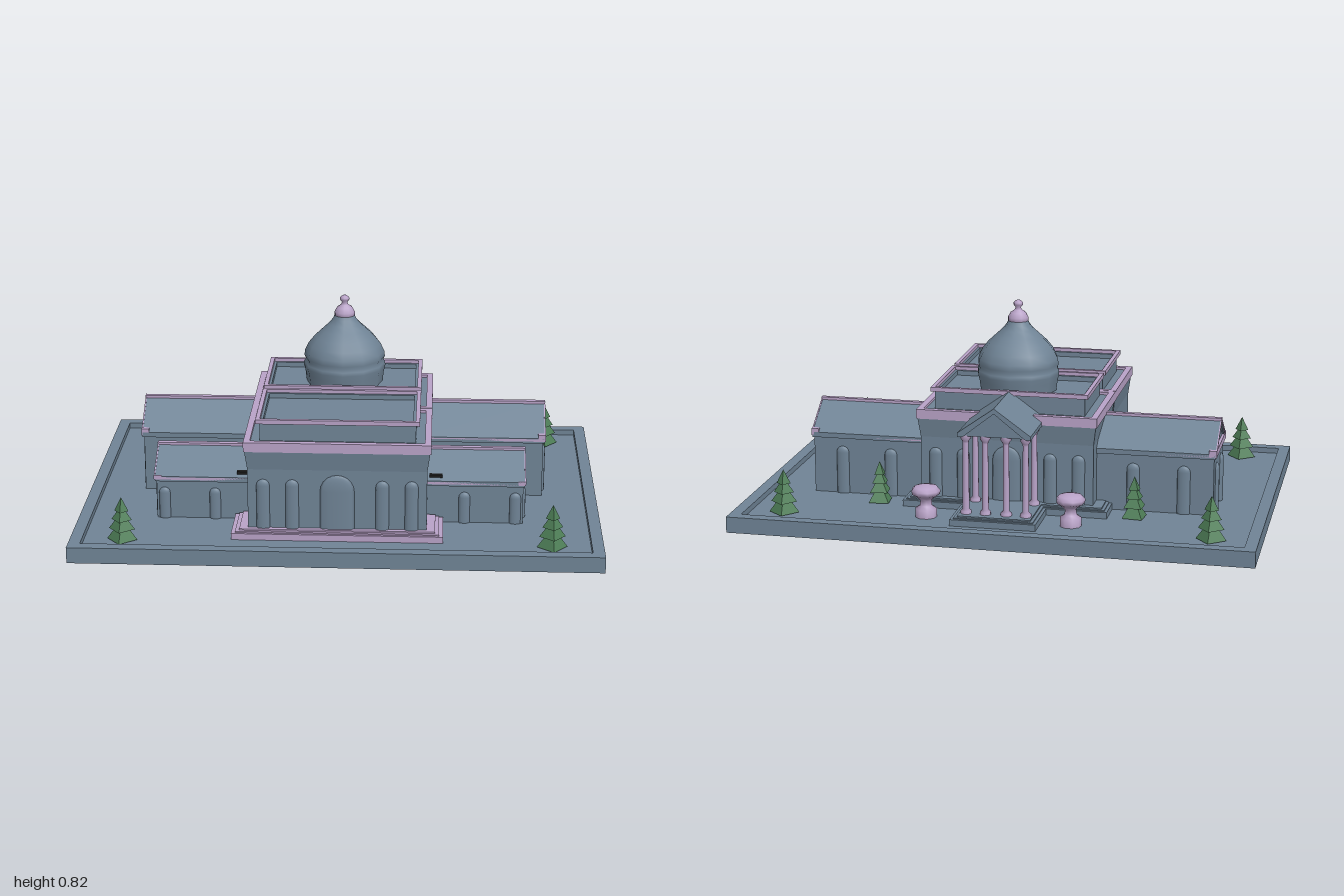
import * as THREE from 'three';

export function createModel() {
  const model = new THREE.Group();
  const stone = new THREE.MeshStandardMaterial({ name: 'slate stone', color: 0x708496 });
  const trim = new THREE.MeshStandardMaterial({ name: 'lilac trim', color: 0xb9a3c8 });
  const leaf = new THREE.MeshStandardMaterial({ name: 'tree green', color: 0x4d7d56, flatShading: true });
  const dark = new THREE.MeshStandardMaterial({ name: 'foundation black', color: 0x1a1a1a });

  const add = (name, geometry, material, x = 0, y = 0, z = 0, parent = model) => {
    const mesh = new THREE.Mesh(geometry, material);
    mesh.name = name;
    mesh.position.set(x, y, z);
    parent.add(mesh);
    return mesh;
  };
  // Box given by its limits, optionally flaring outward at the top
  const block = (name, mat, x0, x1, y0, y1, z0, z1, flare = 0) => {
    const g = new THREE.BoxGeometry(x1 - x0, y1 - y0, z1 - z0);
    const p = g.attributes.position;
    for (let i = 0; i < p.count; i++) {
      if (p.getY(i) > 0) p.setXYZ(i, p.getX(i) + Math.sign(p.getX(i)) * flare, p.getY(i), p.getZ(i) + Math.sign(p.getZ(i)) * flare);
    }
    g.computeVertexNormals();
    return add(name, g, mat, (x0 + x1) / 2, (y0 + y1) / 2, (z0 + z1) / 2);
  };
  const polygon = pts => new THREE.Shape(pts.map(p => new THREE.Vector2(...p)));
  // Rectangular ring lying flat
  const frame = (name, mat, hx, z0, z1, y0, y1, w) => {
    const s = polygon([[-hx, -z1], [hx, -z1], [hx, -z0], [-hx, -z0]]);
    s.holes.push(polygon([[-hx + w, -z1 + w], [-hx + w, -z0 - w], [hx - w, -z0 - w], [hx - w, -z1 + w]]));
    const g = new THREE.ExtrudeGeometry(s, { depth: y1 - y0, bevelEnabled: false });
    g.rotateX(-Math.PI / 2);
    return add(name, g, mat, 0, y0, 0);
  };
  // Profile of [z, y] points swept along x
  const sweepX = (name, mat, pts, x0, x1) => {
    const g = new THREE.ExtrudeGeometry(polygon(pts), { depth: x1 - x0, bevelEnabled: false });
    g.rotateY(-Math.PI / 2);
    return add(name, g, mat, x1, 0, 0);
  };
  // Softly bulging arched window on a wall, turned by angle about y
  const arch = (name, w, h, x, y, z, angle) => {
    const g = new THREE.CapsuleGeometry(w / 2, h - w / 2, 5, 12);
    g.scale(1, 1, 0.024 / w);
    add(name, g, stone, x, y + (h - w / 2) / 2, z).rotation.y = angle;
  };
  const lathe = (pts, n) => new THREE.LatheGeometry(pts.map(p => new THREE.Vector2(...p)), n);

  // Ground: thin floor set into a taller rim
  block('groundFloor', stone, -0.96, 0.96, 0.022, 0.04, -0.668, 0.668);
  frame('groundRim', stone, 1, -0.708, 0.708, 0, 0.062, 0.045);

  // Dark foundations on the underside of the floor
  [[0.35, -0.33, 0.52], [0.78, -0.24, 0.04], [0.7, 0.04, 0.33], [0.15, -0.42, -0.33]].forEach(([hx, z0, z1]) =>
    block('foundation', dark, -hx, hx, 0.019, 0.024, z0, z1));

  // Steps around the hall
  [[0.4, 0.55, 0.065], [0.385, 0.54, 0.07], [0.37, 0.528, 0.076]].forEach(([hx, z, y]) =>
    block('frontStep', trim, -hx, hx, 0.03, y, 0.35, z));
  [[0, 0.065], [0.012, 0.069], [0.024, 0.074]].forEach(([d, y]) => {
    block('rearStep', stone, -0.4 + d, 0.4 - d, 0.03, y, -0.37 + d, -0.1);
    block('porticoStep', stone, -0.165 + d, 0.165 - d, 0.03, y, -0.575 + d, -0.33);
  });

  // Main hall in two halves: walls, cornice, attic storey with sunken roof
  [[0.115, 0.508, 0.11, 0.48], [-0.318, 0.085, -0.28, 0.08]].forEach(([z0, z1, a0, a1]) => {
    block('hallWall', stone, -0.338, 0.338, 0.03, 0.31, z0, z1);
    block('hallFlare', stone, -0.338, 0.338, 0.31, 0.385, z0, z1, 0.01);
    block('hallDeck', stone, -0.34, 0.34, 0.385, 0.41, z0, z1);
    frame('hallCornice', trim, 0.352, z0 - 0.013, z1 + 0.013, 0.383, 0.42, 0.024);
    block('atticRoof', stone, -0.285, 0.285, 0.4, 0.465, a0 + 0.02, a1 - 0.02);
    frame('atticWall', stone, 0.294, a0 + 0.015, a1 - 0.015, 0.4, 0.484, 0.012);
    frame('atticCap', trim, 0.308, a0, a1, 0.48, 0.497, 0.016);
  });
  block('hallLink', stone, -0.334, 0.334, 0.03, 0.31, 0.07, 0.13);
  block('linkFlare', stone, -0.334, 0.334, 0.31, 0.385, 0.07, 0.13, 0.009);
  block('linkCornice', trim, -0.345, 0.345, 0.383, 0.415, 0.08, 0.12);

  // Door and hall windows
  arch('frontDoor', 0.13, 0.215, 0, 0.076, 0.508, 0);
  arch('rearDoor', 0.11, 0.215, 0, 0.074, -0.318, Math.PI);
  for (const x of [-0.28, -0.17, 0.17, 0.28]) {
    arch('frontWindow', 0.05, 0.195, x, 0.076, 0.508, 0);
    arch('rearWindow', 0.05, 0.195, x, 0.074, -0.318, Math.PI);
  }

  // Dome with finial
  add('dome', lathe([[0.15, 0.455], [0.156, 0.505], [0.162, 0.53], [0.161, 0.545], [0.154, 0.556], [0.16, 0.568],
    [0.157, 0.59], [0.143, 0.62], [0.119, 0.65], [0.089, 0.678], [0.063, 0.702], [0.046, 0.722], [0.036, 0.745]], 12), stone, 0, 0, -0.1);
  add('finial', lathe([[0.03, 0.725], [0.04, 0.733], [0.04, 0.75], [0.03, 0.768], [0.015, 0.778], [0.01, 0.788],
    [0.018, 0.798], [0.018, 0.807], [0.01, 0.815], [0, 0.818]], 12), trim, 0, 0, -0.1);

  // Side wings with gabled roofs
  const wings = [
    { len: 0.8, z: -0.1, hw: 0.152, eave: 0.27, ridge: 0.385, band: 0.027, win: 0.185, ww: 0.05, gap: 0.068 },
    { len: 0.715, z: 0.195, hw: 0.15, eave: 0.198, ridge: 0.295, band: 0.016, win: 0.12, ww: 0.043, gap: 0.067 },
  ];
  for (const s of [-1, 1]) for (const w of wings) {
    const { z, hw, eave, ridge, band } = w;
    const span = (a, b) => (s > 0 ? [a, b] : [-b, -a]);
    const end = w.len - 0.01;
    block('wingWall', stone, ...span(0.3, end), 0.03, eave + 0.005, z - hw + 0.008, z + hw - 0.008);
    block('wingEndBand', trim, ...span(end - 0.02, w.len), eave, eave + band, z - hw, z + hw);
    for (const t of [-1, 1]) {
      block('wingEaveTrim', trim, ...span(0.3, w.len - 0.002), eave, eave + 0.01, z + t * (hw - 0.006) - 0.006, z + t * (hw - 0.006) + 0.006);
    }
    sweepX('wingGable', stone, [[z - hw + 0.01, eave], [z + hw - 0.01, eave], [z, ridge - 0.01]], ...span(0.3, end));
    const chevron = (thick, lift) => [[z - hw, eave + 0.013 + lift], [z - hw, eave + 0.013 + lift - thick], [z, ridge + lift - thick],
      [z + hw, eave + 0.013 + lift - thick], [z + hw, eave + 0.013 + lift], [z, ridge + lift]].reverse();
    sweepX('wingRoof', stone, chevron(0.02, 0), ...span(0.3, w.len - 0.004));
    sweepX('wingVerge', trim, chevron(0.012, 0.003), ...span(w.len - 0.005, w.len));
    block('wingRidge', trim, ...span(0.3, w.len), ridge - 0.014, ridge + 0.004, z - 0.01, z + 0.01);
    // Windows on the end and long sides
    for (const t of [-1, 1]) {
      arch('wingEndWindow', w.ww, w.win, s * end, 0.045, z + t * w.gap, s * Math.PI / 2);
      for (const x of [0.48, 0.675]) {
        arch('wingSideWindow', w.ww, w.win, s * x, 0.045, z + t * (hw - 0.008), t > 0 ? 0 : Math.PI);
      }
    }
  }
  // Dark gutter heads where the front wings meet the hall
  for (const s of [-1, 1]) block('gutterHead', dark, s * 0.37 - 0.025, s * 0.37 + 0.025, 0.205, 0.23, 0.305, 0.33);

  // Rear portico: gabled roof with a recessed pediment, on columns
  const sweepZ = (name, pts, z0, z1) =>
    add(name, new THREE.ExtrudeGeometry(polygon(pts), { depth: z1 - z0, bevelEnabled: false }), stone, 0, 0, z0);
  sweepZ('porticoRoof', [[-0.14, 0.38], [-0.12, 0.38], [0, 0.475], [0.12, 0.38], [0.14, 0.38], [0.14, 0.395], [0, 0.495], [-0.14, 0.395]], -0.54, -0.268);
  sweepZ('porticoPediment', [[-0.13, 0.38], [0.13, 0.38], [0, 0.485]], -0.525, -0.27);
  const column = lathe([[0.021, 0.06], [0.021, 0.085], [0.013, 0.092], [0.011, 0.35], [0.013, 0.358], [0.02, 0.368], [0.02, 0.382]], 10);
  for (const x of [-0.115, -0.04, 0.04, 0.115]) add('porticoColumn', column, trim, x, 0, -0.508);
  for (const x of [-0.115, 0.115]) add('porticoColumn', column, trim, x, 0, -0.35);

  // Garden urns
  const urn = lathe([[0.042, 0.035], [0.042, 0.072], [0.024, 0.084], [0.022, 0.105], [0.035, 0.118], [0.054, 0.13],
    [0.056, 0.145], [0.045, 0.158], [0.02, 0.164], [0, 0.165]], 9);
  for (const x of [-0.28, 0.28]) {
    add('urn', urn, trim, x, 0, -0.475);
    add('urnFoundation', new THREE.CylinderGeometry(0.03, 0.03, 0.005, 9), dark, x, 0.0215, -0.475);
  }

  // Trees of stacked four-sided tiers
  const trees = [[0.82, -0.55, 1, 0], [0.808, 0.575, 1, 0], [0.5, -0.335, 0.95, Math.PI / 4]];
  for (const s of [-1, 1]) for (const [x, z, size, turn] of trees) {
    const tree = new THREE.Group();
    tree.name = 'tree';
    tree.position.set(s * x, 0.038, z);
    tree.scale.setScalar(size);
    tree.rotation.y = s * (turn + 0.1);
    [[0.058, 0.008, 0.08], [0.05, 0.05, 0.068], [0.039, 0.087, 0.058], [0.027, 0.122, 0.054]].forEach(([r, y, h]) =>
      add('foliage', new THREE.ConeGeometry(r, h, 4), leaf, 0, y + h / 2, 0, tree));
    add('trunk', new THREE.CylinderGeometry(0.015, 0.015, 0.03, 6), leaf, 0, 0.01, 0, tree);
    model.add(tree);
  }
  return model;
}
